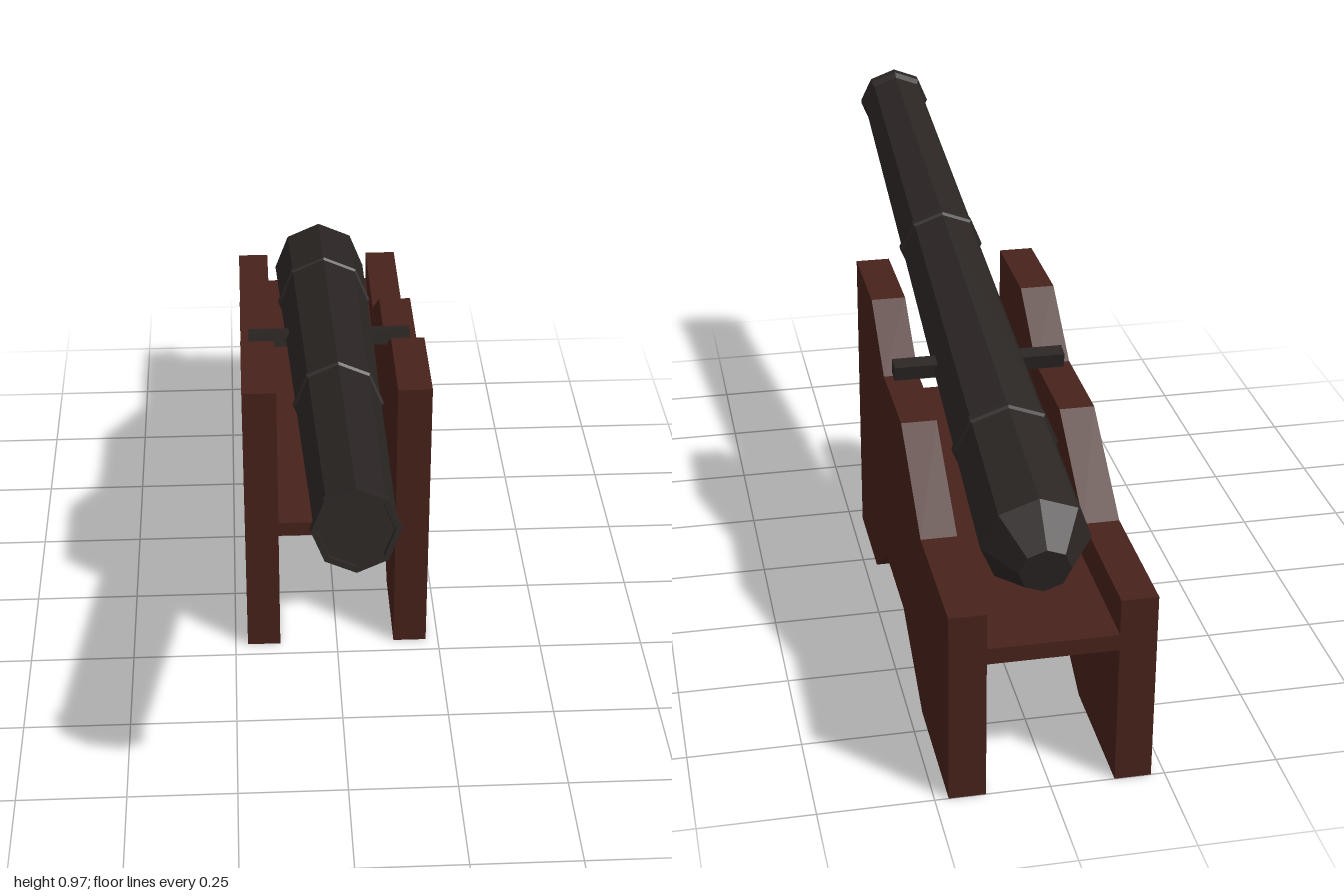
import * as THREE from 'three';

export function createModel() {
  const model = new THREE.Group();
  const wood = new THREE.MeshStandardMaterial({ color: 0x47221a, flatShading: true });
  const iron = new THREE.MeshStandardMaterial({ color: 0x2a2523, flatShading: true });

  function add(parent, name, geometry, material, x = 0, y = 0, z = 0) {
    const mesh = new THREE.Mesh(geometry, material);
    mesh.name = name;
    mesh.position.set(x, y, z);
    parent.add(mesh);
    return mesh;
  }

  // Carriage: two stepped cheeks, outline as (distance backwards, height)
  const carriage = new THREE.Group();
  carriage.name = 'carriage';
  model.add(carriage);
  const outline = [
    [-0.21, 0], [0.03, 0], [0.2, 0.125], [0.44, 0.125], [0.68, 0], [1, 0],
    [1, 0.445], [0.68, 0.445], [0.44, 0.605], [0.2, 0.605], [0.03, 0.725], [-0.21, 0.725],
  ];
  const cheekShape = new THREE.Shape(outline.map(([u, v]) => new THREE.Vector2(u, v)));
  const cheek = new THREE.ExtrudeGeometry(cheekShape, { depth: 0.08, bevelEnabled: false });
  cheek.rotateY(Math.PI / 2);
  add(carriage, 'leftCheek', cheek, wood, 0.14);
  add(carriage, 'rightCheek', cheek, wood, -0.22);

  // Bed plank joining the cheeks
  add(carriage, 'bed', new THREE.BoxGeometry(0.28, 0.037, 1.21), wood, 0, 0.344, -0.395);

  // Gun: local +y runs towards the muzzle, origin at the muzzle centre
  const gun = new THREE.Group();
  gun.name = 'gun';
  gun.position.set(0, 0.878, 0.98);
  gun.rotation.x = Math.PI / 2 - 0.207;
  model.add(gun);

  // Eight-sided barrel: breech cap, taper with two bands, muzzle lip
  const radiusAt = (s) => 0.082 + (0.038 * s) / 1.845;
  const band = (s) => [
    [radiusAt(s), s + 0.012], [radiusAt(s) + 0.006, s + 0.007],
    [radiusAt(s) + 0.006, s - 0.007], [radiusAt(s), s - 0.012],
  ];
  const profile = [
    [0, 1.935], [0.057, 1.935], [0.12, 1.845],
    ...band(1.523), ...band(0.73),
    [0.083, 0.035], [0.091, 0.02], [0.089, 0], [0.077, 0], [0.075, 0.008], [0, 0.008],
  ].map(([r, s]) => new THREE.Vector2(r, -s));
  add(gun, 'barrel', new THREE.LatheGeometry(profile, 8), iron);

  // Square trunnion bar resting on the cheeks
  add(gun, 'trunnions', new THREE.BoxGeometry(0.4, 0.036, 0.036), iron, 0, -1.22, 0);

  return model;
}
